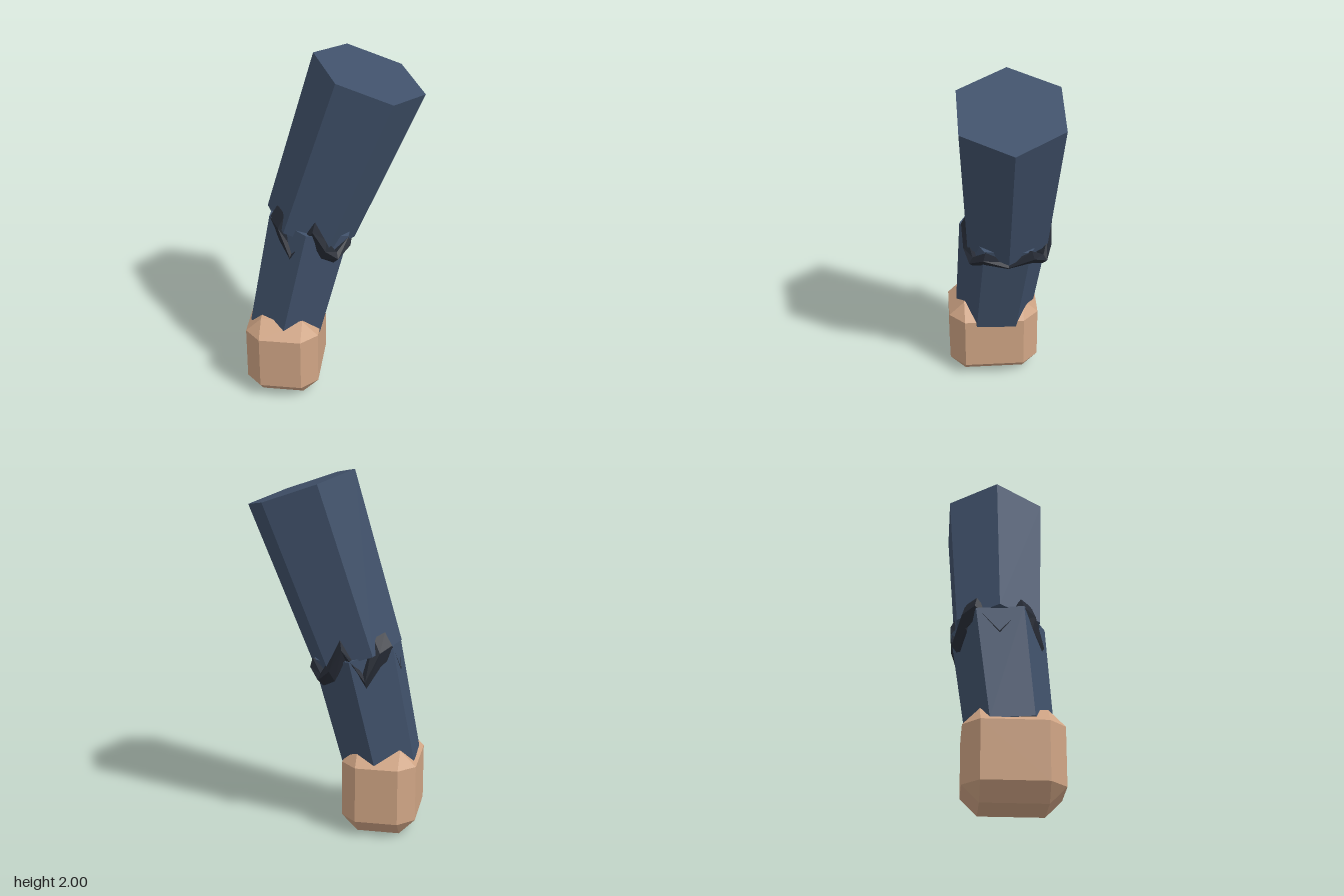
import * as THREE from 'three';
import { ConvexGeometry } from 'three/addons/geometries/ConvexGeometry.js';

const V = (x, y, z) => new THREE.Vector3(x, y, z);

function part(name, geometry, color) {
  const material = new THREE.MeshStandardMaterial({ color, flatShading: true });
  const mesh = new THREE.Mesh(geometry, material);
  mesh.name = name;
  return mesh;
}

// Six-sided tapered limb between two points
function limb(name, from, to, rFrom, rTo, turn, color) {
  const axis = to.clone().sub(from);
  const geometry = new THREE.CylinderGeometry(rTo, rFrom, axis.length(), 6).rotateY(turn);
  const mesh = part(name, geometry, color);
  mesh.quaternion.setFromUnitVectors(V(0, 1, 0), axis.normalize());
  mesh.position.copy(from).add(to).multiplyScalar(0.5);
  return mesh;
}

// Box with every edge and corner chamfered
function chamferedBox(w, h, d, b) {
  const points = [];
  for (const sx of [-1, 1]) for (const sy of [-1, 1]) for (const sz of [-1, 1]) {
    const x = w / 2, y = h / 2, z = d / 2;
    points.push(V(sx * x, sy * (y - b), sz * (z - b)));
    points.push(V(sx * (x - b), sy * y, sz * (z - b)));
    points.push(V(sx * (x - b), sy * (y - b), sz * z));
  }
  return new ConvexGeometry(points);
}

// Closed zigzag band with a diamond section around the elbow axis
function band(stations, center) {
  const positions = [], index = [], n = stations.length;
  for (const [x, y, z, half] of stations) {
    const p = V(x, y, z);
    const out = V(x - center.x - 0.33 * (y - center.y), 0, z - center.z).normalize();
    const up = V(0.25, 0.97, 0);
    const corners = [
      p.clone().addScaledVector(up, half).addScaledVector(out, -0.005),
      p.clone().addScaledVector(out, 0.022),
      p.clone().addScaledVector(up, -half).addScaledVector(out, -0.005),
      p.clone().addScaledVector(out, -0.1),
    ];
    corners.forEach((c) => positions.push(c.x, c.y, c.z));
  }
  for (let i = 0; i < n; i++) for (let j = 0; j < 4; j++) {
    const a = i * 4 + j, b = i * 4 + (j + 1) % 4;
    const c = ((i + 1) % n) * 4 + j, d = ((i + 1) % n) * 4 + (j + 1) % 4;
    index.push(a, b, c, b, d, c);
  }
  const geometry = new THREE.BufferGeometry();
  geometry.setAttribute('position', new THREE.Float32BufferAttribute(positions, 3));
  geometry.setIndex(index);
  geometry.computeVertexNormals();
  return geometry;
}

export function createModel() {
  const group = new THREE.Group();
  group.name = 'arm';
  const cloth = 0x40516a, skin = 0xd0a585, dark = 0x262b35;

  // Sleeve in two overlapping tapered pieces
  group.add(limb('upperArm', V(-0.13, 1.005, -0.03), V(0.18, 1.9, -0.03), 0.256, 0.308, Math.PI / 2, cloth));
  group.add(limb('lowerArm', V(-0.265, 0.38, 0.03), V(-0.125, 1.04, -0.025), 0.228, 0.256, 0, cloth));

  // Elbow crease: one side from the left edge round to the right, then mirrored
  const zMid = -0.03;
  const side = [
    [-0.32, 1.09, 0.09, 0.07],
    [-0.27, 1.06, 0.15, 0.08],
    [-0.21, 0.91, 0.195, 0.04],
    [-0.16, 0.98, 0.19, 0.03],
    [-0.09, 1.08, 0.2, 0.06],
    [-0.03, 0.96, 0.195, 0.06],
    [0.03, 0.9, 0.17, 0.035],
    [0.085, 0.95, 0.1, 0.05],
  ];
  const mirrored = side.map(([x, y, z, h]) => [x, y, 2 * zMid - z, h]).reverse();
  const stations = [[-0.35, 0.93, zMid, 0.05], ...side, [0.07, 0.89, zMid, 0.03], ...mirrored];
  const crease = part('elbowCrease', band(stations, V(-0.13, 1.005, zMid)), dark);
  crease.material.side = THREE.DoubleSide;
  group.add(crease);

  // Blocky fist
  const fist = part('hand', chamferedBox(0.41, 0.49, 0.52, 0.088), skin);
  fist.position.set(-0.27, 0.245, 0.04);
  group.add(fist);

  return group;
}
